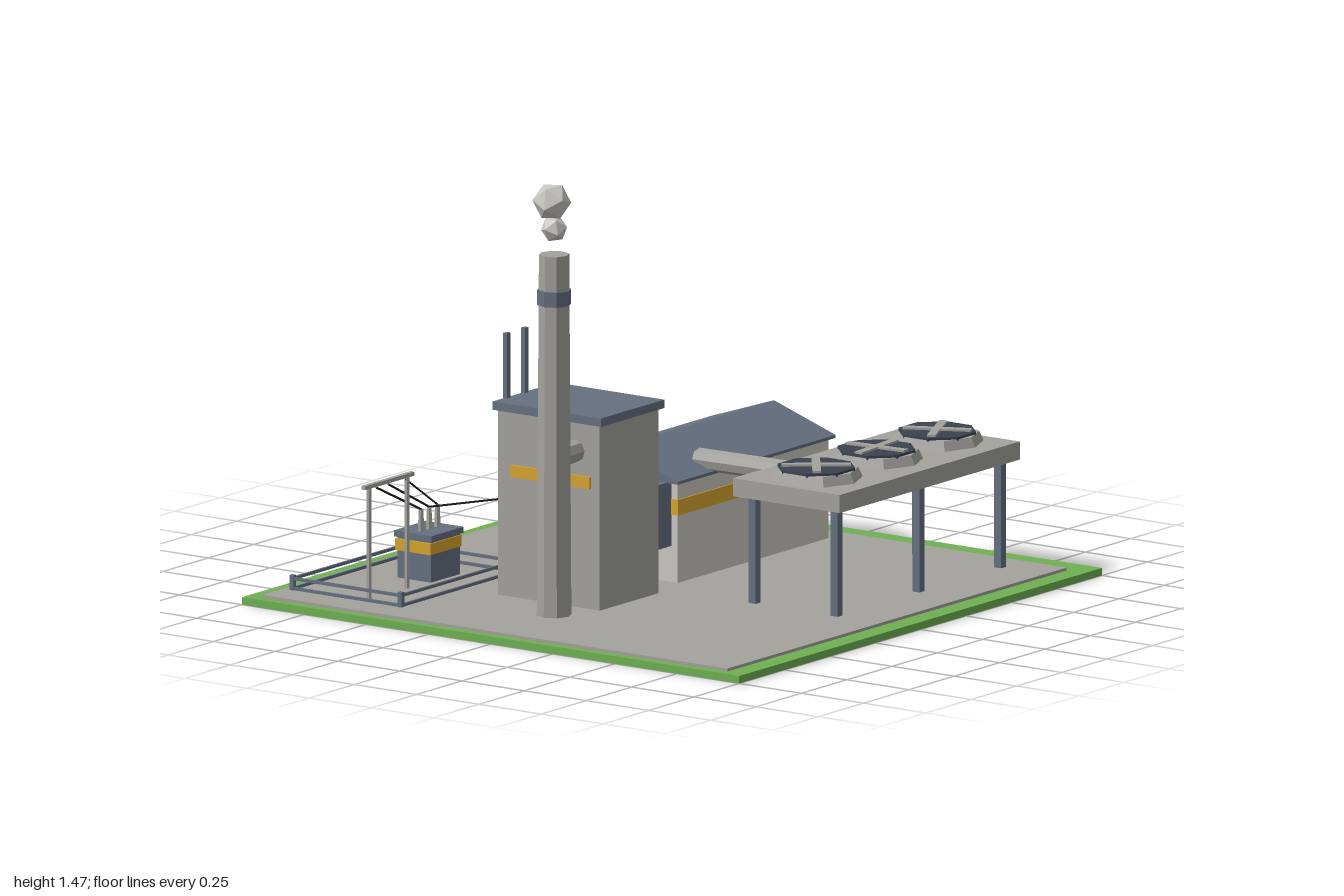
import * as THREE from 'three';

const mat = (name, color) => {
  const m = new THREE.MeshStandardMaterial({ color, flatShading: true });
  m.name = name;
  return m;
};

export function createModel() {
  const grass = mat('grass green', 0x6fb052);
  const concrete = mat('concrete grey', 0xa3a29d);
  const wall = mat('pale wall', 0xcbc9c1);
  const steel = mat('blue steel', 0x667080);
  const yellow = mat('safety yellow', 0xd6a52c);
  const dark = mat('dark fan', 0x3b434f);
  const black = mat('cable black', 0x1c1e22);
  const smoke = mat('smoke', 0xc9c8c4);

  const model = new THREE.Group();
  model.name = 'powerStation';

  const add = (name, geo, material, parent = model) => {
    const mesh = new THREE.Mesh(geo, material);
    mesh.name = name;
    parent.add(mesh);
    return mesh;
  };
  // Box given by its limits on each axis
  const box = (name, m, x0, x1, y0, y1, z0, z1, parent) => {
    const mesh = add(name, new THREE.BoxGeometry(x1 - x0, y1 - y0, z1 - z0), m, parent);
    mesh.position.set((x0 + x1) / 2, (y0 + y1) / 2, (z0 + z1) / 2);
    return mesh;
  };
  // Upright cylinder from y0 to y1
  const post = (name, m, x, z, y0, y1, rBottom, rTop = rBottom, sides = 8, parent) => {
    const mesh = add(name, new THREE.CylinderGeometry(rTop, rBottom, y1 - y0, sides), m, parent);
    mesh.position.set(x, (y0 + y1) / 2, z);
    return mesh;
  };
  // Cylinder between two points
  const rod = (name, m, a, b, r, sides = 8, parent) => {
    const p = new THREE.Vector3(...a), q = new THREE.Vector3(...b);
    const d = q.clone().sub(p);
    const mesh = add(name, new THREE.CylinderGeometry(r, r, d.length(), sides), m, parent);
    mesh.position.copy(p).add(q).multiplyScalar(0.5);
    mesh.quaternion.setFromUnitVectors(new THREE.Vector3(0, 1, 0), d.normalize());
    return mesh;
  };
  const group = (name) => {
    const g = new THREE.Group();
    g.name = name;
    model.add(g);
    return g;
  };
  const G = 0.035; // paved ground level

  // Ground
  box('lawn', grass, -1, 1, 0, 0.025, -1, 1);
  box('paving', concrete, -0.97, 0.9, 0.025, G, -0.94, 0.93);

  // Turbine hall
  const hall = group('turbineHall');
  box('hallWalls', wall, -0.03, 0.8, G, 0.375, -0.41, 0.045, hall);
  box('hallStripe', yellow, -0.034, 0.804, 0.26, 0.312, -0.414, 0.049, hall);
  const gable = new THREE.Shape([[-0.06, 0.367], [0.435, 0.367], [0.435, 0.377], [0.188, 0.46], [-0.06, 0.377]]
    .map(([x, y]) => new THREE.Vector2(x, y)));
  const roof = add('hallRoof', new THREE.ExtrudeGeometry(gable, { depth: 0.87, bevelEnabled: false }), steel, hall);
  roof.rotation.y = Math.PI / 2;
  roof.position.x = -0.05;
  for (const x of [0.645, 0.325, 0.14]) box('hallWindow', steel, x - 0.055, x + 0.055, 0.12, 0.2, -0.416, -0.409, hall);
  box('hallDoor', concrete, 0.415, 0.53, G, 0.2, -0.422, -0.409, hall);
  box('cableBracket', black, 0.112, 0.122, 0.265, 0.35, -0.424, -0.414, hall);

  // Boiler tower
  const tower = group('boilerTower');
  box('towerWalls', concrete, -0.515, -0.19, G, 0.655, -0.325, 0.085, tower);
  box('towerRoof', steel, -0.525, -0.175, 0.65, 0.678, -0.338, 0.097, tower);
  box('towerStripe', yellow, -0.522, -0.513, 0.435, 0.475, -0.27, 0.05, tower);
  for (const x of [-0.455, -0.355, -0.25]) box('ventPipe', steel, x - 0.01, x + 0.01, 0.35, 0.895, -0.341, -0.325, tower);
  box('linkDuct', steel, -0.2, -0.02, 0.155, 0.37, -0.27, 0.02, tower);

  // Chimney and smoke
  const chimney = group('chimney');
  post('stack', concrete, -0.65, 0, G, 1.235, 0.057, 0.05, 8, chimney);
  post('stackBand', steel, -0.65, 0, 1.068, 1.118, 0.056, 0.056, 8, chimney);
  rod('flueDuct', concrete, [-0.65, 0.555, 0], [-0.5, 0.555, -0.015], 0.038, 8, chimney);
  for (const [x, y, z, r, turn] of [[-0.65, 1.32, 0, 0.045, 0.4], [-0.69, 1.42, 0.02, 0.064, 0.9]]) {
    const puff = add('smokePuff', new THREE.IcosahedronGeometry(r, 0), smoke, chimney);
    puff.position.set(x, y, z);
    puff.rotation.set(turn, turn, 0);
  }

  // Raised cooler deck with three fans
  const cooler = group('cooler');
  box('coolerDeck', concrete, -0.165, 0.828, 0.39, 0.45, 0.365, 0.795, cooler);
  for (const x of [-0.12, 0.33, 0.78])
    for (const z of [0.42, 0.75]) box('coolerLeg', steel, x - 0.014, x + 0.014, G, 0.392, z - 0.014, z + 0.014, cooler);
  [[0, 0.65], [0.333, 0.07], [0.667, 0.45]].forEach(([x, turn]) => {
    post('fanRing', concrete, x, 0.58, 0.449, 0.482, 0.153, 0.138, 8, cooler);
    post('fanWell', dark, x, 0.58, 0.47, 0.49, 0.13, 0.13, 8, cooler).rotation.y = Math.PI / 8;
    for (const k of [0, 1]) {
      const blade = add('fanBlade', new THREE.BoxGeometry(0.225, 0.01, 0.028), concrete, cooler);
      blade.position.set(x, 0.492, 0.58);
      blade.rotation.y = turn + k * Math.PI / 2;
    }
  });
  rod('coolerPipe', concrete, [0.13, 0.42, 0.4], [0.178, 0.403, -0.02], 0.036, 8, cooler);

  // Supply pipe with valves
  const supply = group('supplyPipe');
  rod('pipeFromHall', concrete, [0.515, 0.095, -0.4], [0.515, 0.095, -0.692], 0.025, 8, supply);
  rod('pipeOut', concrete, [0.495, 0.095, -0.67], [1, 0.095, -0.67], 0.025, 8, supply);
  for (const x of [0.68, 0.92]) box('pipeSupport', concrete, x - 0.014, x + 0.014, 0.02, 0.08, -0.69, -0.65, supply);
  for (const x of [0.58, 0.78]) {
    rod('valveBody', yellow, [x - 0.027, 0.095, -0.67], [x + 0.027, 0.095, -0.67], 0.034, 8, supply);
    post('valveStem', yellow, x, -0.67, 0.12, 0.155, 0.008, 0.008, 6, supply);
    post('valveWheel', yellow, x, -0.67, 0.15, 0.162, 0.03, 0.03, 8, supply);
  }

  // Transformer with insulators
  const yard = group('transformerYard');
  box('transformerBody', steel, -0.5, -0.34, G, 0.18, -0.74, -0.605, yard);
  box('transformerStripe', yellow, -0.508, -0.336, 0.128, 0.166, -0.744, -0.601, yard);
  box('transformerLid', steel, -0.508, -0.33, 0.172, 0.192, -0.748, -0.597, yard);
  const tips = [-0.465, -0.42, -0.375];
  for (const x of tips) post('insulator', concrete, x, -0.67, 0.19, 0.265, 0.012, 0.008, 6, yard);

  // Gantry and cables
  for (const x of [-0.82, -0.61]) post('gantryPost', concrete, x, -0.62, G, 0.415, 0.009, 0.009, 6, yard);
  box('gantryBeam', concrete, -0.85, -0.58, 0.405, 0.418, -0.628, -0.612, yard);
  [-0.78, -0.715, -0.62].forEach((x, i) => rod('cable', black, [x, 0.4, -0.62], [tips[i], 0.265, -0.67], 0.004, 4, yard));
  rod('hallCable', black, [-0.42, 0.265, -0.67], [-0.02, 0.3, -0.31], 0.004, 4, yard);

  // Yard fence: corner posts, low kerb and top rail
  const [fx0, fx1, fz0, fz1] = [-0.85, -0.215, -0.905, -0.47];
  for (const x of [fx0, fx1])
    for (const z of [fz0, fz1]) box('fencePost', steel, x - 0.008, x + 0.008, G, 0.085, z - 0.008, z + 0.008, yard);
  for (const y of [0.04, 0.073]) {
    for (const z of [fz0, fz1]) box('fenceRail', steel, fx0, fx1, y - 0.005, y + 0.005, z - 0.004, z + 0.004, yard);
    for (const x of [fx0, fx1]) box('fenceRail', steel, x - 0.004, x + 0.004, y - 0.005, y + 0.005, fz0, fz1, yard);
  }

  return model;
}
